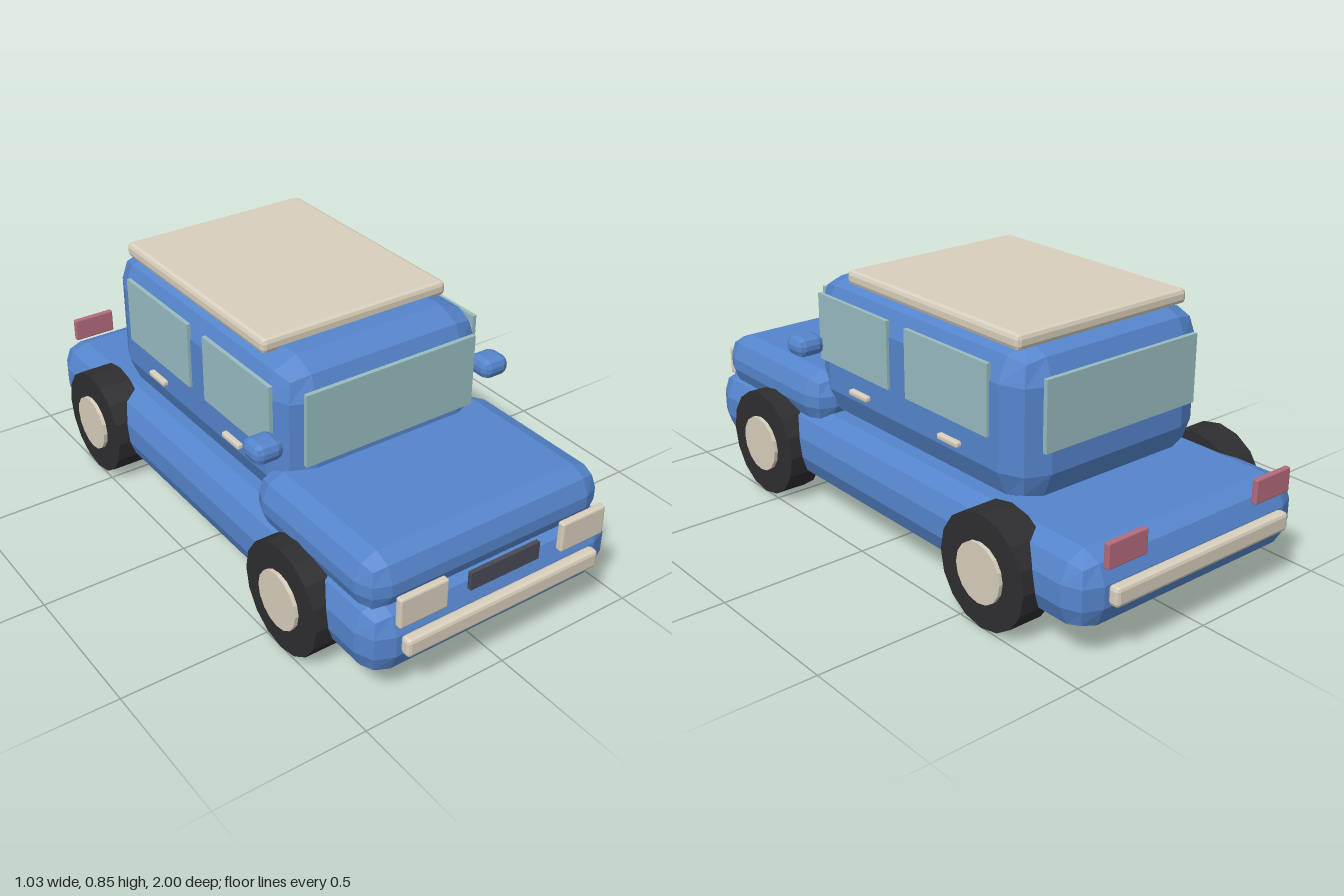
import * as THREE from 'three';
import { RoundedBoxGeometry } from 'three/addons/geometries/RoundedBoxGeometry.js';

const paint = (color) => new THREE.MeshStandardMaterial({ color, flatShading: true });

export function createModel() {
  const car = new THREE.Group();
  car.name = 'car';
  const blue = paint(0x5585cc), cream = paint(0xd8cfbc), rubber = paint(0x2e2e31);
  const glass = paint(0x98bcc0), dark = paint(0x4a4a58), red = paint(0xb56c7c);

  // Box given by its [min, max] on each axis; a radius chamfers the edges in two facets
  const block = (name, [x0, x1], [y0, y1], [z0, z1], material, radius = 0) => {
    const size = [x1 - x0, y1 - y0, z1 - z0];
    const geometry = radius ? new RoundedBoxGeometry(...size, 1, radius) : new THREE.BoxGeometry(...size);
    const mesh = new THREE.Mesh(geometry, material);
    mesh.position.set((x0 + x1) / 2, (y0 + y1) / 2, (z0 + z1) / 2);
    mesh.name = name;
    car.add(mesh);
  };
  // The same block on the left (+x) and mirrored on the right
  const pair = (name, [x0, x1], y, z, material, radius) => {
    block(name + 'Left', [x0, x1], y, z, material, radius);
    block(name + 'Right', [-x1, -x0], y, z, material, radius);
  };

  // Bodywork
  block('body', [-0.46, 0.46], [0.095, 0.335], [-0.965, 0.965], blue, 0.085);
  block('hood', [-0.44, 0.44], [0.285, 0.475], [0.32, 0.925], blue, 0.075);
  block('cabin', [-0.38, 0.38], [0.32, 0.812], [-0.635, 0.435], blue, 0.11);
  block('roofPanel', [-0.343, 0.343], [0.798, 0.847], [-0.565, 0.262], cream, 0.015);

  // Glass
  block('windshield', [-0.315, 0.315], [0.498, 0.743], [0.43, 0.445], glass);
  block('rearWindow', [-0.305, 0.305], [0.508, 0.733], [-0.648, -0.633], glass);
  pair('frontSideWindow', [0.376, 0.39], [0.53, 0.755], [-0.01, 0.36], glass);
  pair('rearSideWindow', [0.376, 0.39], [0.53, 0.755], [-0.487, -0.1], glass);

  // Door handles and mirrors
  pair('frontDoorHandle', [0.375, 0.398], [0.452, 0.472], [0.098, 0.195], cream, 0.006);
  pair('rearDoorHandle', [0.375, 0.398], [0.452, 0.472], [-0.36, -0.263], cream, 0.006);
  pair('mirror', [0.38, 0.48], [0.547, 0.613], [0.34, 0.435], blue, 0.025);

  // Nose and tail
  block('frontBumper', [-0.36, 0.36], [0.188, 0.25], [0.96, 1], cream, 0.012);
  block('rearBumper', [-0.36, 0.36], [0.188, 0.25], [-1, -0.96], cream, 0.012);
  block('grille', [-0.128, 0.128], [0.31, 0.37], [0.965, 0.98], dark);
  pair('headlight', [0.213, 0.382], [0.295, 0.395], [0.96, 0.985], cream, 0.006);
  pair('tailLight', [0.227, 0.378], [0.305, 0.385], [-0.978, -0.958], red, 0.004);

  // Wheels: tyre with a hub disc standing proud of its outer face
  const tyreGeometry = new THREE.CylinderGeometry(0.183, 0.183, 0.115, 16).rotateZ(Math.PI / 2);
  const hubGeometry = new THREE.CylinderGeometry(0.096, 0.096, 0.125, 16).rotateZ(Math.PI / 2);
  for (const [end, z] of [['front', 0.578], ['rear', -0.597]]) {
    for (const side of [1, -1]) {
      const wheel = new THREE.Group();
      wheel.name = end + (side > 0 ? 'LeftWheel' : 'RightWheel');
      const tyre = new THREE.Mesh(tyreGeometry, rubber);
      tyre.name = 'tyre';
      const hub = new THREE.Mesh(hubGeometry, cream);
      hub.name = 'hub';
      hub.position.x = side * 0.008;
      wheel.add(tyre, hub);
      wheel.position.set(side * 0.445, 0.183, z);
      car.add(wheel);
    }
  }
  return car;
}
